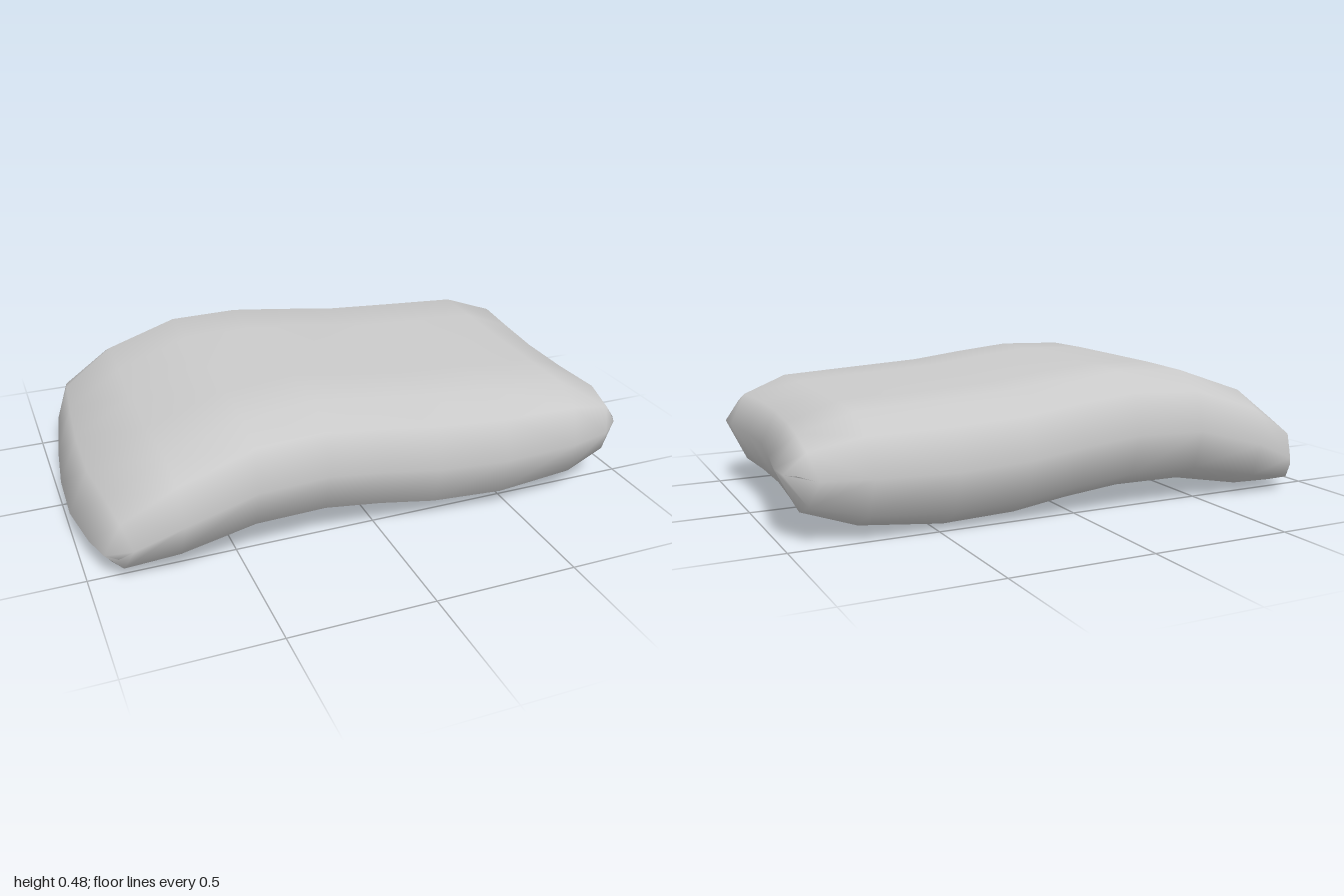
import * as THREE from 'three';
import { mergeVertices } from 'three/addons/utils/BufferGeometryUtils.js';

// Stations along the length: x, top y, bottom y, back z, front z
const STATIONS = [
  [-1.00, 0.09, 0.09, -0.56, 0.55],
  [-0.93, 0.25, 0.01, -0.61, 0.585],
  [-0.72, 0.38, 0.02, -0.635, 0.615],
  [-0.45, 0.47, 0.065, -0.62, 0.61],
  [-0.20, 0.48, 0.063, -0.60, 0.60],
  [0.00, 0.46, 0.04, -0.59, 0.605],
  [0.20, 0.435, 0.01, -0.585, 0.615],
  [0.46, 0.42, 0.0, -0.58, 0.625],
  [0.75, 0.405, 0.03, -0.57, 0.62],
  [0.93, 0.345, 0.09, -0.53, 0.58],
  [1.00, 0.235, 0.235, -0.50, 0.54],
];

// Rows across the width: position, fullness, left-hand end x, right-hand end x
const ROWS = [
  [-1.00, 0.00, -0.90, 0.96],
  [-0.93, 0.68, -0.925, 0.995],
  [-0.75, 0.98, -0.94, 1.00],
  [-0.40, 1.00, -0.97, 0.97],
  [0.00, 1.00, -0.995, 0.945],
  [0.40, 1.00, -1.00, 0.945],
  [0.75, 0.98, -0.97, 0.965],
  [0.93, 0.68, -0.94, 0.965],
  [1.00, 0.00, -0.90, 0.945],
];

// One point of the upper (side = 1) or lower (side = -1) skin
function skinPoint(station, row, side) {
  const [x, top, bottom, back, front] = station;
  const [q, fullness, endMin, endMax] = row;
  const inset = x < 0 ? endMin + 1 : endMax - 1;
  return [
    x + inset * x ** 4,
    (top + bottom) / 2 + side * fullness * (top - bottom) / 2,
    (back + front) / 2 + q * (front - back) / 2,
  ];
}

function cushionGeometry() {
  const positions = [];
  for (const side of [1, -1]) {
    for (let i = 0; i < STATIONS.length - 1; i++) {
      for (let k = 0; k < ROWS.length - 1; k++) {
        const a = skinPoint(STATIONS[i], ROWS[k], side);
        const b = skinPoint(STATIONS[i], ROWS[k + 1], side);
        const c = skinPoint(STATIONS[i + 1], ROWS[k + 1], side);
        const d = skinPoint(STATIONS[i + 1], ROWS[k], side);
        const corners = side > 0 ? [a, b, c, a, c, d] : [a, c, b, a, d, c];
        positions.push(...corners.flat());
      }
    }
  }
  const geometry = new THREE.BufferGeometry();
  geometry.setAttribute('position', new THREE.Float32BufferAttribute(positions, 3));
  // The two skins are joined along the rim so shading runs smoothly round it
  const welded = mergeVertices(geometry, 1e-4);
  welded.computeVertexNormals();
  return welded;
}

export function createModel() {
  const group = new THREE.Group();
  group.name = 'cushion';
  const body = new THREE.Mesh(
    cushionGeometry(),
    new THREE.MeshStandardMaterial({ color: 0xcccccc }),
  );
  body.name = 'cushionBody';
  group.add(body);
  return group;
}
